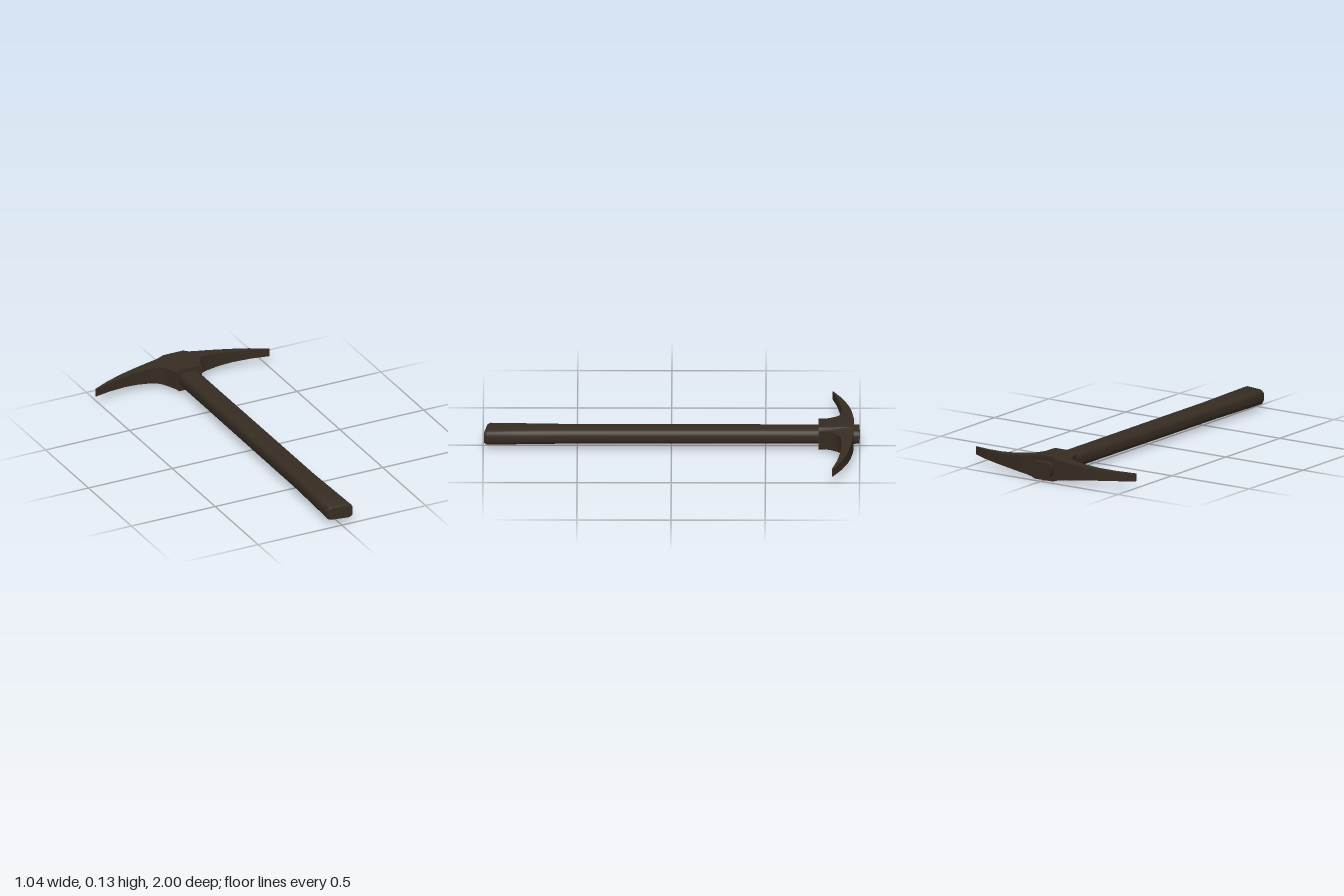
import * as THREE from 'three';
import { toCreasedNormals } from 'three/addons/utils/BufferGeometryUtils.js';

// Skin a list of equal-length rings and close both ends
function loft(rings, crease) {
  const n = rings[0].length;
  const pos = rings.flat(2);
  const idx = [];
  for (let i = 0; i < rings.length - 1; i++) {
    for (let j = 0; j < n; j++) {
      const a = i * n + j, b = i * n + (j + 1) % n;
      idx.push(a, b, b + n, a, b + n, a + n);
    }
  }
  const last = (rings.length - 1) * n;
  for (let j = 1; j < n - 1; j++) {
    idx.push(0, j + 1, j);
    idx.push(last, last + j, last + j + 1);
  }
  const g = new THREE.BufferGeometry();
  g.setAttribute('position', new THREE.Float32BufferAttribute(pos, 3));
  g.setIndex(idx);
  return toCreasedNormals(g, crease);
}

const MID = 0.068; // height of the tool's centre plane

// Rounded-rectangle ring across the handle, slanted along x by the given slope
function handleRing([z, w, h, slope = 0]) {
  const r = h * 0.72, ring = [];
  const corners = [[1, 1], [-1, 1], [-1, -1], [1, -1]];
  corners.forEach(([sx, sy], q) => {
    for (let k = 0; k <= 4; k++) {
      const a = (q + k / 4) * Math.PI / 2;
      const x = sx * (w - r) + r * Math.cos(a);
      const y = sy * (h - r) + r * Math.sin(a);
      ring.push([x, MID + y, z + slope * x]);
    }
  });
  return ring;
}

export function createModel() {
  const group = new THREE.Group();
  const brown = new THREE.MeshStandardMaterial({ color: 0x362c22 });
  brown.name = 'darkBrown';
  const add = (name, geometry) => {
    const mesh = new THREE.Mesh(geometry, brown);
    mesh.name = name;
    group.add(mesh);
    return mesh;
  };

  // Handle: z, half width, half height, end slant
  add('handle', loft([
    [-0.998, 0.062, 0.038],
    [-0.95, 0.063, 0.04],
    [-0.8, 0.058, 0.041],
    [-0.5, 0.058, 0.041],
    [0.1, 0.06, 0.041],
    [0.57, 0.061, 0.041],
    [0.78, 0.067, 0.042],
    [0.97, 0.073, 0.042, 0.17],
    [0.985, 0.066, 0.034, 0.17],
  ].map(handleRing), 0.7));

  // Head, one half: x, back z, front z, half height at back, half height at front
  const half = [
    [0.06, -0.968, -0.78, 0.067, 0.063],
    [0.077, -0.968, -0.78, 0.06, 0.047],
    [0.086, -0.967, -0.81, 0.057, 0.05],
    [0.1, -0.966, -0.848, 0.054, 0.051],
    [0.118, -0.965, -0.875, 0.051, 0.05],
    [0.14, -0.964, -0.893, 0.048, 0.048],
    [0.17, -0.961, -0.9, 0.045, 0.045],
    [0.24, -0.953, -0.903, 0.037, 0.037],
    [0.32, -0.938, -0.897, 0.03, 0.03],
    [0.42, -0.906, -0.88, 0.025, 0.025],
    [0.518, -0.861, -0.853, 0.021, 0.021],
  ];
  const mirrored = half.map(([x, ...rest]) => [-x, ...rest]).reverse();
  add('pickHead', loft([...mirrored, ...half].map(([x, b, f, hb, hf]) => [
    [x, MID - hb, b], [x, MID + hb, b], [x, MID + hf, f], [x, MID - hf, f],
  ]), 0.5));

  // Wedge driven into the handle's top end
  add('wedge', new THREE.BoxGeometry(0.1, 0.008, 0.04)).position.set(0, MID, -0.982);

  return group;
}
